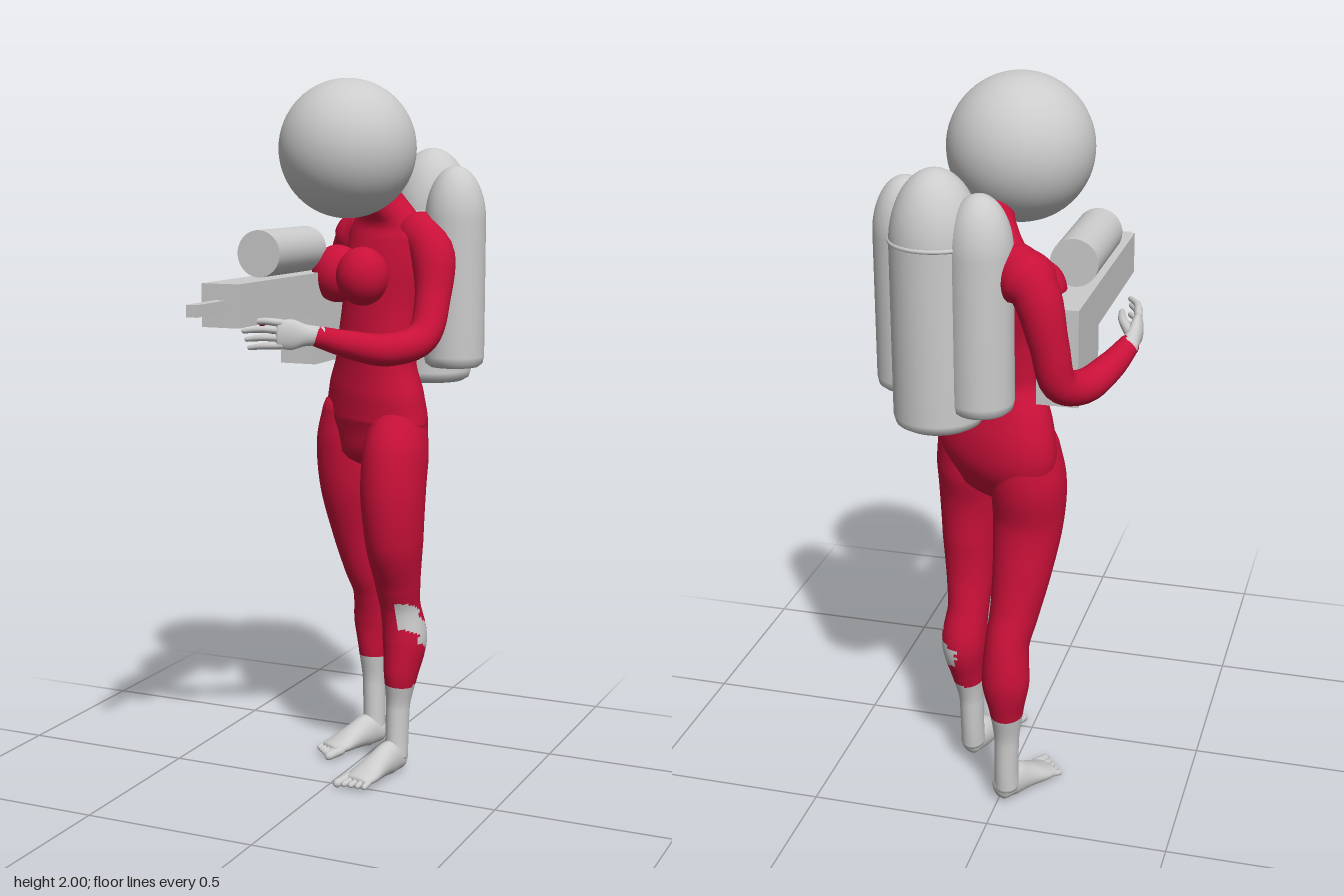
import * as THREE from 'three';

const grey = new THREE.MeshStandardMaterial({ color: 0xcccccc });
const red = new THREE.MeshStandardMaterial({ color: 0xc81038 });
const V = (a) => new THREE.Vector3(...a);

// Smooth swept form: sections are [x, y, z, sideRadius, refRadius], with rounded ends.
// 'keep' may drop faces by their centre, so a limb can be divided into two colours.
function sweep(sections, ref, { steps = 6, seg = 28, cap = 0.6, keep = () => true } = {}) {
  const curve = new THREE.CatmullRomCurve3(sections.map(V));
  const radii = new THREE.CatmullRomCurve3(sections.map((s) => new THREE.Vector3(s[3], s[4] ?? s[3], 0)));
  const n = (sections.length - 1) * steps;
  const rings = [];
  const add = (u, angle, sign) => {
    const t = curve.getTangent(u), r = radii.getPoint(u);
    const b = V(ref).addScaledVector(t, -t.dot(V(ref))).normalize();
    const a = b.clone().cross(t);
    const shift = sign * Math.sin(angle) * Math.min(r.x, r.y) * cap;
    const c = curve.getPoint(u).addScaledVector(t, shift);
    rings.push({ c, a: a.multiplyScalar(r.x * Math.cos(angle)), b: b.multiplyScalar(r.y * Math.cos(angle)) });
  };
  for (let k = 4; k > 0; k--) add(0, k * Math.PI / 8, -1);
  for (let i = 0; i <= n; i++) add(i / n, 0, 0);
  for (let k = 1; k <= 4; k++) add(1, k * Math.PI / 8, 1);

  const pos = [], index = [];
  for (const { c, a, b } of rings) {
    for (let j = 0; j < seg; j++) {
      const q = j / seg * Math.PI * 2;
      pos.push(...c.clone().addScaledVector(a, Math.cos(q)).addScaledVector(b, Math.sin(q)));
    }
  }
  const at = (i) => new THREE.Vector3().fromArray(pos, i * 3);
  for (let i = 0; i < rings.length - 1; i++) {
    for (let j = 0; j < seg; j++) {
      const p = i * seg + j, q = i * seg + (j + 1) % seg;
      if (keep(at(p).add(at(q + seg)).multiplyScalar(0.5))) index.push(p, q, p + seg, q, q + seg, p + seg);
    }
  }
  const g = new THREE.BufferGeometry();
  g.setAttribute('position', new THREE.Float32BufferAttribute(pos, 3));
  g.setIndex(index);
  g.computeVertexNormals();
  return g;
}

export function createModel() {
  const model = new THREE.Group();
  const part = (name, geometry, material = grey, at = [0, 0, 0], parent = model) => {
    const m = new THREE.Mesh(geometry, material);
    m.name = name;
    m.position.set(...at);
    parent.add(m);
    return m;
  };
  const group = (name) => {
    const g = new THREE.Group();
    g.name = name;
    model.add(g);
    return g;
  };

  // Round helmet
  part('helmet', new THREE.SphereGeometry(0.192, 48, 32), grey, [0, 1.808, -0.114]);

  // Torso, turned towards the model's right
  const facing = [-0.55, 0, 0.83];
  part('torso', sweep([
    [0.03, 0.95, -0.235, 0.165, 0.09],
    [0.033, 1.04, -0.25, 0.203, 0.115],
    [0.036, 1.13, -0.24, 0.185, 0.108],
    [0.04, 1.23, -0.23, 0.148, 0.095],
    [0.05, 1.35, -0.245, 0.148, 0.098],
    [0.058, 1.47, -0.265, 0.168, 0.1],
    [0.06, 1.57, -0.28, 0.175, 0.08],
    [0.055, 1.63, -0.265, 0.12, 0.06],
    [0.04, 1.69, -0.22, 0.055, 0.055],
    [0.02, 1.76, -0.17, 0.05, 0.05],
  ], facing, { seg: 40 }), red);
  for (const [name, x, z] of [['leftBreast', 0.042, -0.125], ['rightBreast', -0.068, -0.2]]) {
    part(name, new THREE.SphereGeometry(0.075, 28, 20), red, [x, 1.455, z]).scale.y = 1.1;
  }

  // Arms
  part('leftArm', sweep([
    [0.16, 1.58, -0.235, 0.062], [0.222, 1.525, -0.195, 0.063], [0.243, 1.4, -0.15, 0.05],
    [0.238, 1.295, -0.085, 0.046], [0.175, 1.268, 0.015, 0.045], [0.1, 1.287, 0.095, 0.038], [0.035, 1.313, 0.165, 0.028],
  ], [0.75, 0, 0.65]), red);
  part('rightArm', sweep([
    [-0.05, 1.58, -0.385, 0.062], [-0.115, 1.53, -0.425, 0.062], [-0.155, 1.4, -0.437, 0.05],
    [-0.178, 1.29, -0.42, 0.046], [-0.225, 1.262, -0.35, 0.045], [-0.275, 1.29, -0.265, 0.038], [-0.308, 1.325, -0.19, 0.028],
  ], [0.85, 0, 0.5]), red);

  // Hands: palm, four curled fingers and a thumb
  const hand = (name, wrist, dir, curl) => {
    const g = group(name), d = V(dir).normalize(), c = V(curl).normalize();
    const p = (along, up, bend) => {
      const v = V(wrist).addScaledVector(d, along).addScaledVector(c, bend);
      return [v.x, v.y + up, v.z];
    };
    part('palm', sweep([
      [...p(-0.02, 0, 0), 0.025, 0.025], [...p(0.025, 0, 0), 0.021, 0.029],
      [...p(0.065, 0, 0), 0.018, 0.041], [...p(0.1, 0, 0.005), 0.013, 0.038],
    ], [0, 1, 0], { seg: 20 }), grey, [0, 0, 0], g);
    for (let i = 0; i < 4; i++) {
      const up = (i - 1.5) * 0.02, len = 0.09 - 0.008 * Math.abs(i - 2);
      part('finger', sweep([
        [...p(0.095, up, 0.004), 0.011], [...p(0.095 + len * 0.5, up * 1.1, 0.016), 0.0095],
        [...p(0.095 + len, up * 1.1 - 0.006, 0.046), 0.007],
      ], [0, 1, 0], { seg: 10, steps: 4, cap: 1 }), grey, [0, 0, 0], g);
    }
    part('thumb', sweep([
      [...p(0.03, 0.012, 0.01), 0.015], [...p(0.07, 0.022, 0.04), 0.012], [...p(0.12, 0.018, 0.055), 0.008],
    ], [0, 1, 0], { seg: 10, steps: 4, cap: 1 }), grey, [0, 0, 0], g);
  };
  hand('leftHand', [0.032, 1.315, 0.168], [-0.77, 0.07, 0.63], [-0.6, -0.1, -0.75]);
  hand('rightHand', [-0.31, 1.328, -0.185], [-0.05, 0.18, 1], [1, 0, 0.1]);

  // Legs: suit above the cuff, bare skin below and on a worn patch of the left calf
  const leg = (side, cuff, worn, sections) => {
    const bare = (c) => c.y < cuff || worn(c);
    part(side + 'LegSuit', sweep(sections, [0, 0, 1], { steps: 14, seg: 36, keep: (c) => !bare(c) }), red);
    part(side + 'LegSkin', sweep(sections, [0, 0, 1], { steps: 14, seg: 36, keep: bare }));
  };
  const worn = (c) => c.x > 0.15 && c.y > 0.34 && c.y < 0.52
    && Math.abs(c.y - 0.64 - 1.07 * c.z) < 0.045 + 0.012 * Math.sin(c.y * 130);
  leg('left', 0.265, worn, [
    [0.13, 1.04, -0.19, 0.08, 0.09], [0.132, 0.94, -0.155, 0.092, 0.112], [0.134, 0.84, -0.135, 0.091, 0.107],
    [0.137, 0.7, -0.14, 0.081, 0.097], [0.136, 0.58, -0.168, 0.066, 0.07], [0.136, 0.5, -0.19, 0.058, 0.064],
    [0.145, 0.4, -0.205, 0.063, 0.075], [0.14, 0.3, -0.19, 0.049, 0.063], [0.133, 0.2, -0.185, 0.034, 0.041],
    [0.132, 0.1, -0.18, 0.033, 0.04], [0.132, 0.05, -0.175, 0.034, 0.04],
  ]);
  leg('right', 0.285, () => false, [
    [-0.06, 1.06, -0.29, 0.085, 0.1], [-0.066, 0.96, -0.29, 0.1, 0.105], [-0.063, 0.84, -0.285, 0.095, 0.09],
    [-0.052, 0.7, -0.31, 0.08, 0.08], [-0.037, 0.58, -0.338, 0.066, 0.075], [-0.025, 0.5, -0.367, 0.06, 0.071],
    [-0.025, 0.4, -0.385, 0.065, 0.066], [-0.025, 0.3, -0.378, 0.047, 0.053], [-0.024, 0.2, -0.374, 0.034, 0.037],
    [-0.022, 0.1, -0.372, 0.033, 0.038], [-0.022, 0.05, -0.37, 0.034, 0.038],
  ]);

  // Feet with toes
  const foot = (name, heel, ball, inner) => {
    const g = group(name);
    const [hx, hz] = heel, [bx, bz] = ball;
    const at = (k, y, side = 0) => {
      const dx = bx - hx, dz = bz - hz, l = Math.hypot(dx, dz);
      return [hx + dx * k + dz / l * side, y, hz + dz * k - dx / l * side];
    };
    part('sole', sweep([
      [...at(0, 0.043), 0.03, 0.036], [...at(0.25, 0.052), 0.035, 0.05], [...at(0.55, 0.042), 0.039, 0.038],
      [...at(0.85, 0.029), 0.047, 0.024], [...at(1.05, 0.022), 0.044, 0.015],
    ], [0, 1, 0]), grey, [0, 0, 0], g);
    for (let i = 0; i < 5; i++) {
      const s = inner * (0.036 - i * 0.018), r = i ? 0.0095 : 0.014;
      part('toe', sweep([[...at(1, 0.022, s), r], [...at(1.27 - i * 0.035, 0.016, s * 1.1), r * 0.9]],
        [0, 1, 0], { seg: 10, cap: 1 }), grey, [0, 0, 0], g);
    }
  };
  foot('leftFoot', [0.136, -0.185], [0.085, -0.01], -1);
  foot('rightFoot', [-0.01, -0.382], [-0.095, -0.23], 1);

  // Three gas bottles on the back: straight wall, pointed dome, rounded base
  const tank = (name, x, z, r, y0, shoulder, top) => {
    const pts = [[0, y0], [r * 0.8, y0], [r * 0.95, y0 + 0.01], [r, y0 + 0.03], [r, shoulder]];
    for (let i = 1; i <= 14; i++) {
      const q = i / 14 * Math.PI / 2;
      pts.push([Math.max(0, r * Math.cos(q)), shoulder + (top - shoulder) * Math.sin(q)]);
    }
    part(name, new THREE.LatheGeometry(pts.map((p) => new THREE.Vector2(...p)), 40), grey, [x, 0, z]);
  };
  tank('mainTank', 0.148, -0.385, 0.117, 1.14, 1.62, 1.81);
  tank('leftTank', 0.258, -0.283, 0.086, 1.195, 1.61, 1.76);
  tank('rightTank', 0.027, -0.41, 0.085, 1.195, 1.61, 1.76);
  const band = part('tankBand', new THREE.TorusGeometry(0.115, 0.006, 8, 40), grey, [0.148, 1.63, -0.385]);
  band.rotation.x = Math.PI / 2;

  // Rifle: boxes given by their limits in y and z, all on one centre line
  const gx = -0.155;
  const block = (name, w, y0, y1, z0, z1) =>
    part(name, new THREE.BoxGeometry(w, y1 - y0, z1 - z0), grey, [gx, (y0 + y1) / 2, (z0 + z1) / 2]);
  block('rifleBody', 0.11, 1.345, 1.46, -0.35, 0.352);
  block('rifleStock', 0.11, 1.2, 1.345, -0.35, -0.115);
  block('rifleBarrel', 0.032, 1.385, 1.417, 0.352, 0.505);
  const scope = part('rifleScope', new THREE.CylinderGeometry(0.064, 0.064, 0.3, 40), grey, [gx, 1.526, -0.02]);
  scope.rotation.x = Math.PI / 2;

  return model;
}
